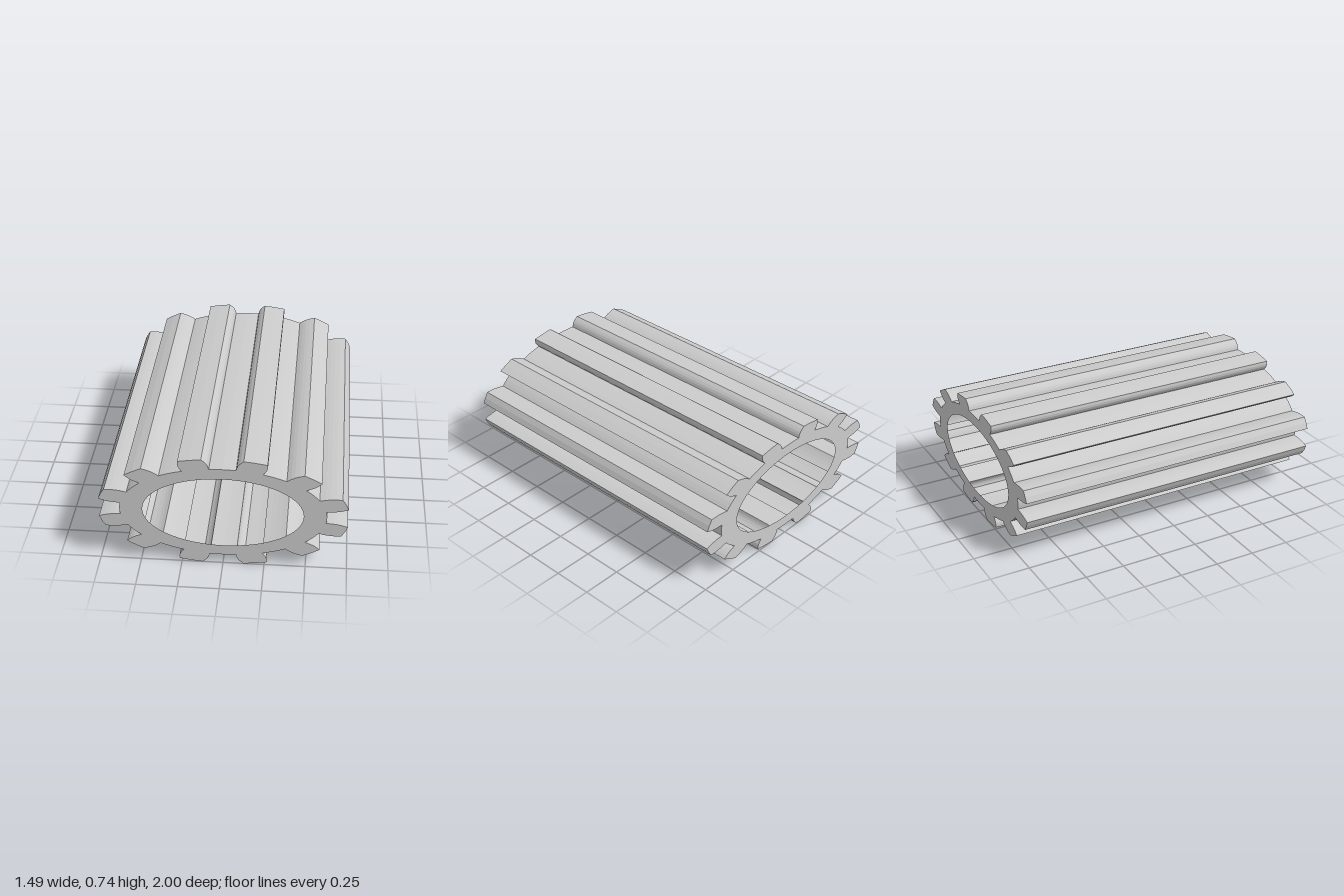
import * as THREE from 'three';

const TEETH = 12, SQUASH = 0.5, CENTRE_Y = 0.372, HALF_LENGTH = 1;
const BORE = 0.482, ROOT = 0.62;

// Half of one tooth: [radius, half-width in degrees] from root to tip
const FLANK = [[ROOT, 7.6], [0.66, 7.6], [0.69, 7.3], [0.72, 6.6], [0.755, 5.45]];

const polar = (r, deg) => {
  const a = THREE.MathUtils.degToRad(deg);
  return new THREE.Vector2(r * Math.cos(a), SQUASH * r * Math.sin(a));
};

// Gear outline, squashed to an ellipse, counter-clockwise
function gearOutline() {
  const pts = [];
  const pitch = 360 / TEETH;
  for (let i = 0; i < TEETH; i++) {
    const mid = (i + 0.5) * pitch;
    for (const [r, w] of FLANK) pts.push(polar(r, mid - w));
    pts.push(polar(0.755, mid));
    for (const [r, w] of [...FLANK].reverse()) pts.push(polar(r, mid + w));
    // root arc up to the next tooth
    const gap = pitch - 2 * FLANK[0][1];
    for (let k = 1; k < 4; k++) pts.push(polar(ROOT, mid + FLANK[0][1] + (gap * k) / 4));
  }
  return pts;
}

// Open wall swept along z from a closed outline
function sweptWall(pts) {
  const pos = [];
  pts.forEach((a, i) => {
    const b = pts[(i + 1) % pts.length], h = HALF_LENGTH;
    pos.push(a.x, a.y, h, a.x, a.y, -h, b.x, b.y, -h);
    pos.push(a.x, a.y, h, b.x, b.y, -h, b.x, b.y, h);
  });
  const geo = new THREE.BufferGeometry();
  geo.setAttribute('position', new THREE.Float32BufferAttribute(pos, 3));
  geo.computeVertexNormals();
  return geo;
}

export function createModel() {
  const group = new THREE.Group();
  group.name = 'ovalGear';
  const material = new THREE.MeshStandardMaterial({
    color: 0xcccccc, flatShading: true, side: THREE.DoubleSide,
  });
  const add = (name, geo) => {
    const mesh = new THREE.Mesh(geo, material);
    mesh.name = name;
    mesh.position.y = CENTRE_Y;
    group.add(mesh);
    return mesh;
  };

  // Toothed shell, hollow inside
  const outline = gearOutline();
  add('toothedShell', sweptWall(outline));

  // End plates with an oval opening
  const plate = new THREE.Shape(outline);
  const hole = [];
  for (let i = 0; i < 64; i++) hole.push(polar(BORE, (-i * 360) / 64));
  plate.holes.push(new THREE.Path(hole));
  const plateGeo = new THREE.ShapeGeometry(plate);
  add('frontPlate', plateGeo).position.z = HALF_LENGTH;
  const back = add('backPlate', plateGeo);
  back.position.z = -HALF_LENGTH;
  back.rotation.y = Math.PI;

  return group;
}
